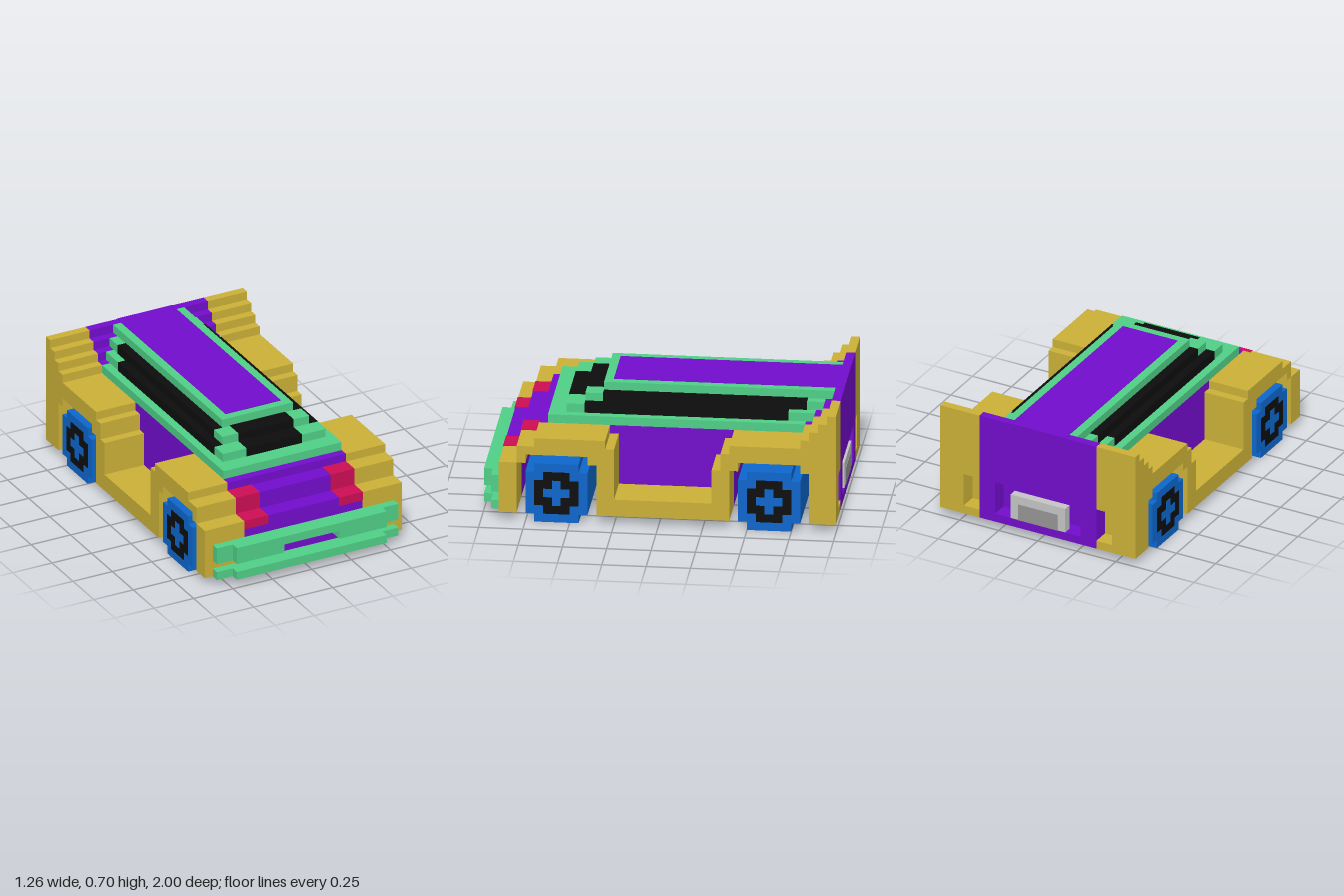
import * as THREE from 'three';

const mat = (name, color) => {
  const m = new THREE.MeshStandardMaterial({ color });
  m.name = name;
  return m;
};

export function createModel() {
  const purple = mat('purple', 0x720dcc), yellow = mat('yellow', 0xcab037);
  const green = mat('green', 0x50ce86), black = mat('black', 0x0d0d0d);
  const blue = mat('blue', 0x0d66cc), red = mat('red', 0xcc0e55);
  const lightGrey = mat('light grey', 0xc4c4c4), grey = mat('grey', 0x949494);
  const model = new THREE.Group();
  model.name = 'blockCar';
  const E = 0.003; // thickness of painted plates

  const add = (name, geometry, material) => {
    const mesh = new THREE.Mesh(geometry, material);
    mesh.name = name;
    model.add(mesh);
    return mesh;
  };
  const box = (name, m, x0, x1, y0, y1, z0, z1) =>
    add(name, new THREE.BoxGeometry(x1 - x0, y1 - y0, z1 - z0)
      .translate((x0 + x1) / 2, (y0 + y1) / 2, (z0 + z1) / 2), m);
  // Box on both sides of the car
  const pair = (name, m, x0, x1, ...rest) => {
    box(name + 'Left', m, x0, x1, ...rest);
    box(name + 'Right', m, -x1, -x0, ...rest);
  };
  // Side profile of [z, y] points pulled from x0 to x1
  const slab = (name, m, points, x0, x1) => {
    const shape = new THREE.Shape(points.map(([z, y]) => new THREE.Vector2(z, y)));
    const g = new THREE.ExtrudeGeometry(shape, { depth: x1 - x0, bevelEnabled: false });
    return add(name, g.rotateY(-Math.PI / 2).translate(x1, 0, 0), m);
  };
  const slabPair = (name, m, points, x0, x1) => {
    slab(name + 'Left', m, points, x0, x1);
    slab(name + 'Right', m, points, -x1, -x0);
  };

  // Stepped outline with wheel tunnels, optional door gap and rear recess
  const arch = (a, b) => [[a, 0.05], [a, 0.35], [a + 0.05, 0.35], [a + 0.05, 0.4],
    [b - 0.05, 0.4], [b - 0.05, 0.35], [b, 0.35], [b, 0.05]];
  const door = [[0.3, 0.5], [0.3, 0.45], [0.25, 0.45], [0.25, 0.15], [-0.3, 0.15],
    [-0.3, 0.35], [-0.35, 0.35], [-0.35, 0.45], [-0.4, 0.45], [-0.4, 0.5]];
  const recess = [[-1, 0.3], [-0.9, 0.3], [-0.9, 0.1], [-1, 0.1]];
  const profile = (withDoor, withRecess) => [
    [-1, 0.05], ...arch(-0.85, -0.4), ...arch(0.35, 0.8), [0.9, 0.05],
    [0.9, 0.35], [0.8, 0.35], [0.8, 0.45], [0.7, 0.45], [0.7, 0.5],
    ...(withDoor ? door : []),
    [-0.8, 0.5], [-0.8, 0.55], [-0.85, 0.55], [-0.85, 0.6], [-0.9, 0.6],
    [-0.9, 0.65], [-0.95, 0.65], [-0.95, 0.7], [-1, 0.7],
    ...(withRecess ? recess : []),
  ];

  // Body and side panels
  slab('bodyCentre', purple, profile(false, true), -0.275, 0.275);
  slabPair('bodySide', purple, profile(false, false), 0.275, 0.375);
  slabPair('fenderInner', yellow, profile(true, true), 0.375, 0.475);
  slabPair('fenderOuter', yellow, profile(true, false), 0.475, 0.625);

  // Cabin layers, narrowing upwards
  for (let i = 0; i < 4; i++) {
    const x = 0.375 - i * 0.05, y = 0.5 + i * 0.05;
    box('cabinLayer', green, -x, x, y, y + 0.05, -0.8 - i * 0.05, 0.65 - i * 0.1);
  }
  box('roofPanel', purple, -0.175, 0.175, 0.66, 0.7 + E, -1, 0.3);

  // Windscreen and side windows on the two middle layers
  for (let i = 0; i < 2; i++) {
    const y = 0.55 + i * 0.05, x = 0.325 - i * 0.05, z = 0.55 - i * 0.1;
    box('windscreen', black, -0.175, 0.175, y, y + 0.05 + E, z - 0.11, z + E);
    pair('sideWindow', black, x - 0.06, x + E, y, y + 0.05 + E, -0.7 - i * 0.1, z - 0.1);
  }

  // Headlights wrapped over the bonnet steps
  pair('headlightLower', red, 0.225, 0.375, 0.3, 0.35 + E, 0.79, 0.9 + E);
  pair('headlightUpper', red, 0.225, 0.375, 0.35, 0.45 + E, 0.7, 0.8 + E);

  // Front bumpers in two depths, the upper one notched underneath
  for (const [x, z] of [[0.575, 0.9], [0.475, 0.95]]) {
    box('lowerBumper', green, -x, x, 0.05, 0.1, z, z + 0.05);
    box('upperBumper', green, -x, x, 0.2, 0.25, z, z + 0.05);
    pair('upperBumperEnd', green, 0.175, x, 0.15, 0.2, z, z + 0.05);
  }

  // Rear plate inside its recess
  box('rearPlate', lightGrey, -0.175, 0.175, 0.1, 0.25, -1, -0.95);
  box('rearPlateInset', grey, -0.125, 0.125, 0.1, 0.2, -1 - E, -0.99);

  // Wheels: square discs with missing corners and a cross hub
  const notched = (r, cz, n = 0.05) => [
    [-r, -r + n], [-r + n, -r + n], [-r + n, -r], [r - n, -r], [r - n, -r + n], [r, -r + n],
    [r, r - n], [r - n, r - n], [r - n, r], [-r + n, r], [-r + n, r - n], [-r, r - n],
  ].map(([z, y]) => [z + cz, y + 0.175]);
  for (const z of [0.575, -0.625]) {
    slabPair('tyre', blue, notched(0.175, z), 0.125, 0.625);
    slabPair('rim', black, notched(0.125, z), 0.62, 0.627);
    slabPair('hubCross', blue, notched(0.075, z), 0.62, 0.629);
    pair('innerHub', purple, 0.122, 0.13, 0.05, 0.3, z - 0.175, z + 0.175);
  }
  return model;
}
